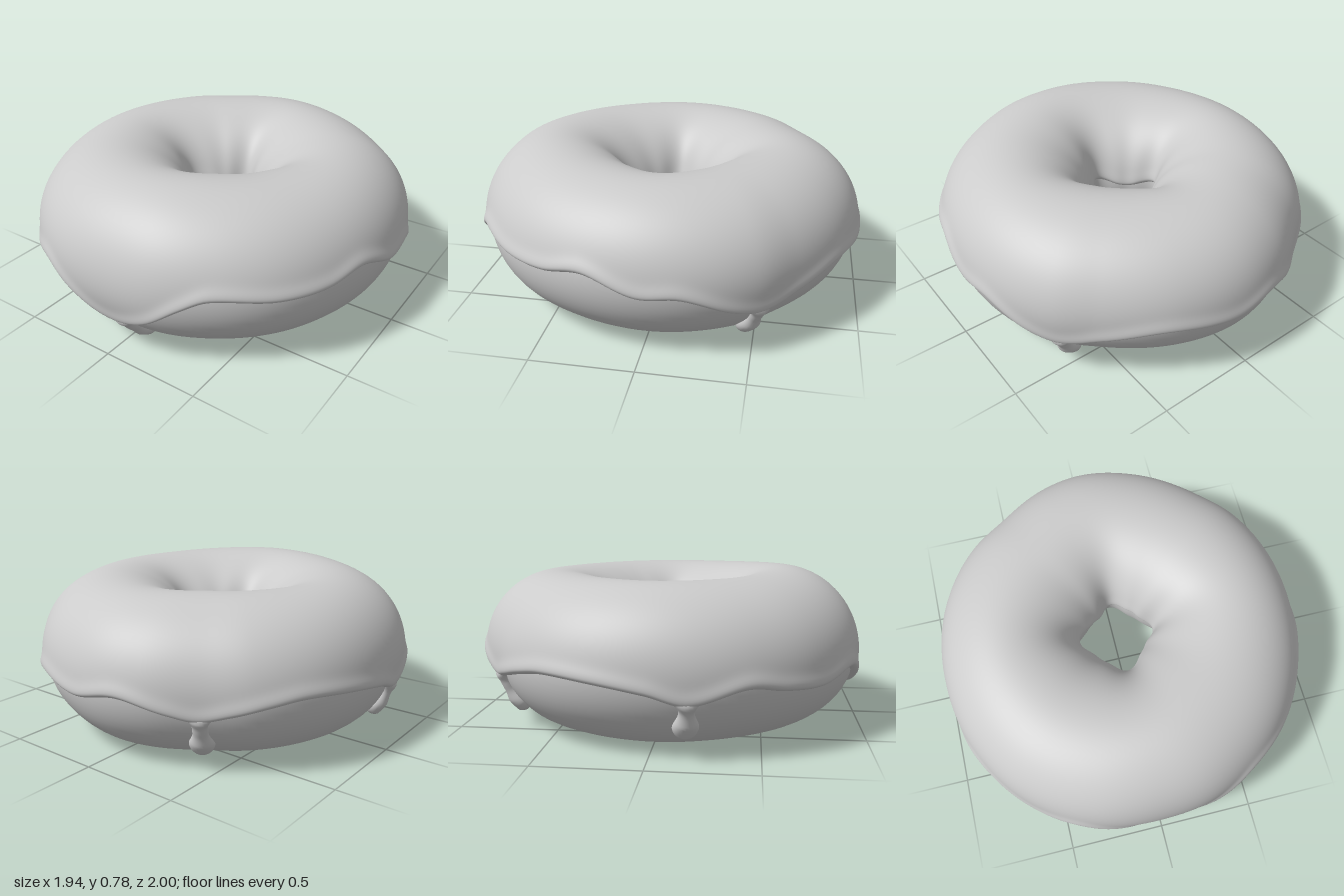
import * as THREE from 'three';

const RAD = Math.PI / 180;
const CENTRE_Y = 0.378, HALF_HEIGHT = 0.365;

// Smooth periodic curve through [degrees, value] pairs (sorted by angle)
function periodic(points) {
  const n = points.length;
  const at = (i) => {
    const turn = Math.floor(i / n);
    const p = points[i - turn * n];
    return [p[0] + 360 * turn, p[1]];
  };
  const slope = (i) => (at(i + 1)[1] - at(i - 1)[1]) / (at(i + 1)[0] - at(i - 1)[0]);
  return (theta) => {
    let deg = theta / RAD;
    while (deg < points[0][0]) deg += 360;
    while (deg >= points[0][0] + 360) deg -= 360;
    let i = 0;
    while (at(i + 1)[0] <= deg) i++;
    const [a0, v0] = at(i), [a1, v1] = at(i + 1);
    const L = a1 - a0, t = (deg - a0) / L, t2 = t * t, t3 = t2 * t;
    return (2 * t3 - 3 * t2 + 1) * v0 + (t3 - 2 * t2 + t) * L * slope(i)
      + (3 * t2 - 2 * t3) * v1 + (t3 - t2) * L * slope(i + 1);
  };
}

// Uneven outer radius of the ring
const outerRadius = periodic([
  [-152, 0.975], [-136, 0.97], [-122, 0.955], [-105, 0.985], [-90, 1.0], [-70, 0.985], [-47, 0.967],
  [-33, 0.98], [0, 0.97], [20, 0.975], [42, 0.995], [60, 1.005], [75, 1.015], [90, 1.012], [109, 1.025],
  [132, 1.015], [150, 0.995], [180, 0.972],
]);

// Height of the icing's wavy outer edge
const edgeHeight = periodic([
  [-165, 0.36], [-150, 0.375], [-140, 0.35], [-130, 0.31], [-121, 0.28], [-113, 0.31], [-99, 0.37],
  [-85, 0.33], [-64, 0.35], [-47, 0.29], [-40, 0.255], [-34, 0.24], [-26, 0.27], [-12, 0.36], [0, 0.36],
  [15, 0.44], [28, 0.405], [42, 0.4], [60, 0.42], [68, 0.36], [78, 0.24], [87, 0.185],
  [94, 0.195], [102, 0.26], [114, 0.35], [129, 0.305], [142, 0.315], [153, 0.34], [169, 0.27], [180, 0.32],
]);

// Rounded-diamond hole, slightly off centre
const holeRadius = (theta) => 0.177 + 0.024 * Math.cos(4 * theta) + 0.006 * Math.cos(8 * theta)
  + 0.013 * Math.sin(theta) - 0.01 * Math.cos(theta);

// Point on the ring: theta around the axis, phi around the section, raised by off
function ringPoint(theta, phi, off = 0) {
  const outer = outerRadius(theta) - 0.035, inner = holeRadius(theta) + 0.018;
  const r = (outer + inner) / 2 + ((outer - inner) / 2 + off) * Math.cos(phi);
  return new THREE.Vector3(r * Math.cos(theta),
    CENTRE_Y + (HALF_HEIGHT + off) * Math.sin(phi), r * Math.sin(theta));
}

const edgePhi = (theta) => Math.asin((edgeHeight(theta) - CENTRE_Y - 0.01) / 0.39);

// Smooth grid surface, closed in u and optionally in v
function gridMesh(name, nu, nv, closedV, point, material) {
  const positions = [], index = [];
  const rows = closedV ? nv : nv + 1;
  for (let i = 0; i < nu; i++)
    for (let j = 0; j < rows; j++) positions.push(...point(i / nu, j / nv).toArray());
  for (let i = 0; i < nu; i++) {
    for (let j = 0; j < nv; j++) {
      const i1 = (i + 1) % nu, j1 = (j + 1) % rows;
      const a = i * rows + j, b = i * rows + j1, c = i1 * rows + j1, d = i1 * rows + j;
      index.push(a, b, c, a, c, d);
    }
  }
  const geometry = new THREE.BufferGeometry();
  geometry.setAttribute('position', new THREE.Float32BufferAttribute(positions, 3));
  geometry.setIndex(index);
  geometry.computeVertexNormals();
  const mesh = new THREE.Mesh(geometry, material);
  mesh.name = name;
  return mesh;
}

// Icing shell with a rounded, slightly swollen lip and a soft mound near the front
function icingPoint(u, v) {
  const theta = u * 2 * Math.PI;
  const start = edgePhi(theta);
  const end = Math.PI - 0.05 + 0.07 * Math.sin(3 * theta + 1);
  const s = v - 0.9 * Math.sin(2 * Math.PI * v) / (2 * Math.PI);
  const phi = start + (end - start) * s;
  const d = Math.min(phi - start, end - phi);
  const lip = 0.07;
  const rise = d < lip ? Math.sqrt(Math.max(0, 1 - (1 - d / lip) ** 2)) : 1;
  const swell = (s < 0.5 ? 0.013 : 0.004) * Math.exp(-(((d - 0.08) / 0.1) ** 2));
  const mound = 0.022 * Math.max(0, Math.sin(phi)) ** 2 * Math.exp(-4 * (1 - Math.cos(theta - 80 * RAD)));
  return ringPoint(theta, phi, -0.006 + (0.028 + mound + swell) * rise);
}

// Drip hugging the dough: narrow neck, round bulb at the tip
function dripPoint(theta, tipPhi) {
  const topPhi = edgePhi(theta) + 0.16;
  const length = (topPhi - tipPhi) * 0.37;
  const side = new THREE.Vector3(-Math.sin(theta), 0, Math.cos(theta));
  return (u, v) => {
    const along = Math.sin(v * Math.PI / 2);
    const phi = topPhi + (tipPhi - topPhi) * along;
    const fromTip = length * (1 - along);
    const bulb = 0.06;
    let width;
    if (fromTip < bulb) {
      width = bulb * Math.sqrt(Math.max(0, 1 - (1 - fromTip / bulb) ** 2));
    } else {
      const neck = THREE.MathUtils.smoothstep(fromTip, bulb, 0.15);
      const flare = THREE.MathUtils.smoothstep(fromTip, length - 0.09, length);
      width = bulb + (0.036 - bulb) * neck + 0.04 * flare;
    }
    const fade = 1 - 0.5 * THREE.MathUtils.smoothstep(fromTip, length - 0.07, length);
    const height = Math.min(width * 0.85, 0.045) * fade;
    const a = u * 2 * Math.PI;
    return ringPoint(theta, phi, height * Math.sin(a)).addScaledVector(side, width * Math.cos(a));
  };
}

export function createModel() {
  const model = new THREE.Group();
  model.name = 'icedDoughnut';
  const material = new THREE.MeshStandardMaterial({ color: 0xcccccc, roughness: 0.6 });

  // Dough ring
  model.add(gridMesh('dough', 144, 64, true,
    (u, v) => ringPoint(u * 2 * Math.PI, v * 2 * Math.PI), material));

  // Icing and its drips: [name, angle around the ring, angle of the tip around the section]
  const icing = new THREE.Group();
  icing.name = 'icing';
  const icingMaterial = material.clone();
  icingMaterial.side = THREE.DoubleSide;
  icing.add(gridMesh('icingShell', 240, 64, false, icingPoint, icingMaterial));
  const drips = [['frontDrip', 86.5, -70], ['leftDrip', -35, -55], ['backDrip', -121.5, -50], ['rightDrip', 169, -46]];
  for (const [name, angle, tip] of drips)
    icing.add(gridMesh(name, 24, 36, false, dripPoint(angle * RAD, tip * RAD), material));
  model.add(icing);
  return model;
}
